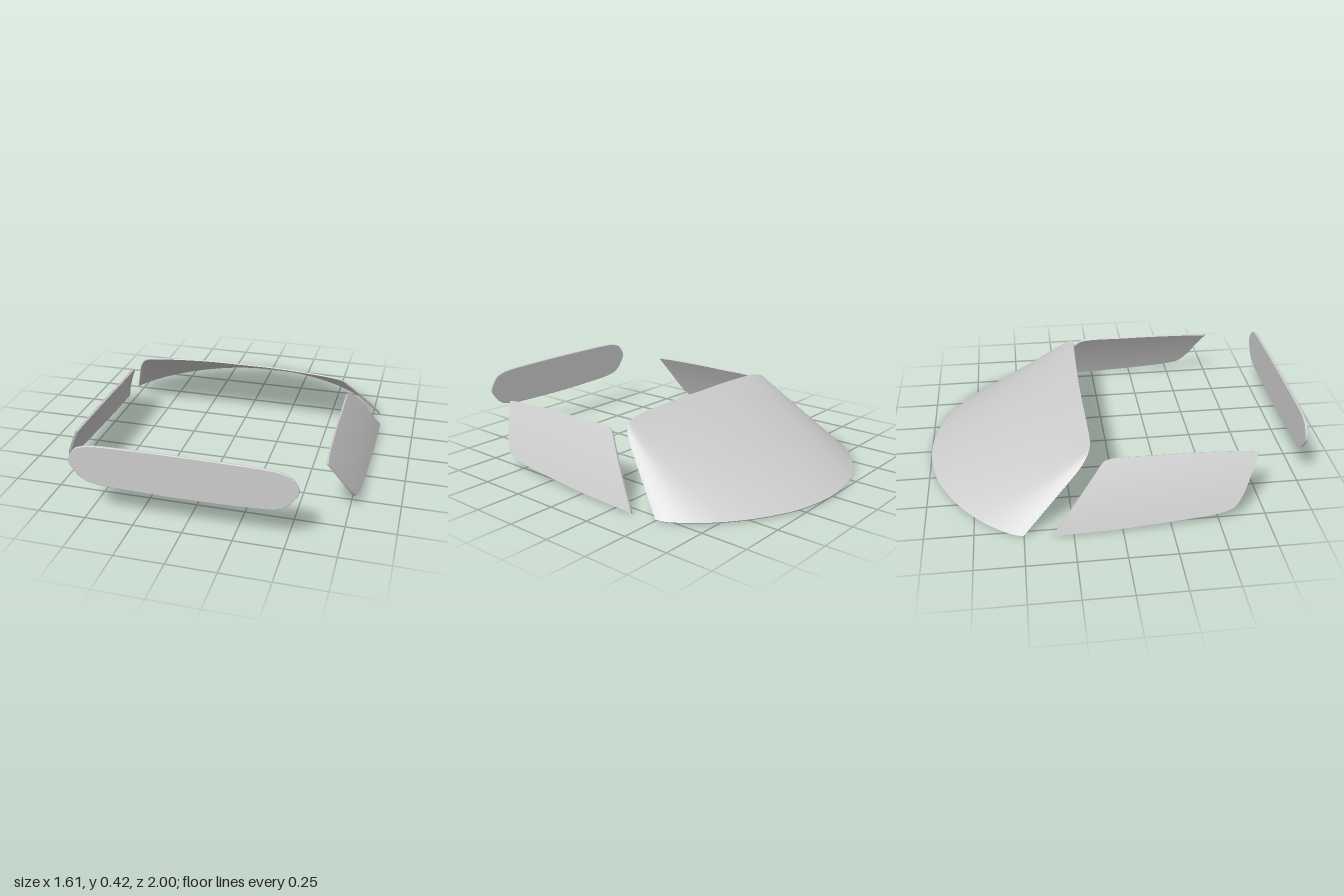
import * as THREE from 'three';
import { mergeGeometries } from 'three/addons/utils/BufferGeometryUtils.js';

const curve = (pts) => new THREE.CatmullRomCurve3(pts.map((p) => new THREE.Vector3(...p)));

// Indexed grid from a list of rows of points
function grid(rows) {
  const n = rows[0].length, index = [];
  for (let j = 0; j < rows.length - 1; j++) {
    for (let i = 0; i < n - 1; i++) {
      const a = j * n + i, b = a + 1, c = a + n, d = c + 1;
      index.push(a, b, d, a, d, c);
    }
  }
  const geo = new THREE.BufferGeometry().setFromPoints(rows.flat());
  geo.setIndex(index);
  geo.computeVertexNormals();
  return geo;
}

// Closed thin pane: outer skin, inner skin pushed along -normal, and a rim
function pane(rows, thickness) {
  const n = rows[0].length, m = rows.length;
  const normals = grid(rows).attributes.normal;
  const inner = rows.map((row, j) => row.map((p, i) =>
    p.clone().addScaledVector(new THREE.Vector3().fromBufferAttribute(normals, j * n + i), -thickness)));
  const loop = (r) => [
    ...r[0], ...r.slice(1).map((row) => row[n - 1]),
    ...r[m - 1].slice(0, -1).reverse(), ...r.slice(0, -1).reverse().map((row) => row[0]),
  ];
  const back = inner.map((row) => [...row].reverse());
  return mergeGeometries([grid(rows), grid(back), grid([loop(inner), loop(rows)])]);
}

// Rows of points blended between a lower and an upper edge
function blend(lower, upper, across, up, adjust = (p) => p) {
  const rows = [];
  for (let j = 0; j <= up; j++) {
    const row = [];
    for (let i = 0; i <= across; i++) {
      row.push(adjust(lower.getPoint(i / across).lerp(upper.getPoint(i / across), j / up)));
    }
    rows.push(row);
  }
  return rows;
}

// Full edge from its left half, centre point first
const mirrored = (half) => curve([
  ...half.slice(1).reverse().map(([x, y, z]) => [-x, y, z]), ...half]);

export function createModel() {
  const model = new THREE.Group();
  model.name = 'carWindows';
  const glass = new THREE.MeshStandardMaterial({ color: 0xcccccc, side: THREE.DoubleSide });
  glass.name = 'paleGreyGlass';
  const add = (name, geo) => {
    const mesh = new THREE.Mesh(geo, glass);
    mesh.name = name;
    model.add(mesh);
    return mesh;
  };

  // Sloping wraparound windscreen
  const sill = mirrored([
    [0, 0.008, -1], [0.25, 0.008, -0.962], [0.45, 0.008, -0.87], [0.6, 0.008, -0.76],
    [0.7, 0.008, -0.655], [0.77, 0.008, -0.55], [0.787, 0.01, -0.5],
  ]);
  const header = mirrored([
    [0, 0.4, -0.145], [0.2, 0.4, -0.143], [0.4, 0.392, -0.138], [0.52, 0.383, -0.136],
    [0.585, 0.367, -0.145], [0.62, 0.33, -0.17], [0.652, 0.275, -0.22],
  ]);
  add('windscreen', pane(blend(sill, header, 72, 12), 0.006));

  // Side windows, leaning inward with a gentle bulge
  const lower = curve([
    [0, 0.182, 0.645], [0, 0.13, 0.615], [0, 0.085, 0.575], [0, 0.062, 0.5],
    [0, 0.035, 0.2], [0, 0.018, -0.1], [0, 0.012, -0.36],
  ]);
  const upper = curve([
    [0, 0.33, 0.715], [0, 0.337, 0.65], [0, 0.341, 0.55], [0, 0.345, 0.4],
    [0, 0.345, 0.2], [0, 0.338, -0.07], [0, 0.315, -0.1],
  ]);
  for (const side of [1, -1]) {
    const lean = (p) => p.setX(side * (0.812 - 0.4 * p.y - 0.3 * p.y * p.y));
    const rows = blend(lower, upper, 36, 12, lean);
    if (side < 0) rows.forEach((row) => row.reverse());
    add(side > 0 ? 'leftSideWindow' : 'rightSideWindow', pane(rows, 0.012));
  }

  // Flat rounded window at the other end
  const half = [[0.2, 0.424], [0.42, 0.419], [0.5, 0.404], [0.535, 0.38], [0.563, 0.325],
    [0.54, 0.278], [0.505, 0.238], [0.46, 0.217], [0.38, 0.206], [0.2, 0.2]];
  const outline = new THREE.SplineCurve([
    [0, 0.425], ...half, [0, 0.197], ...half.map(([x, y]) => [-x, y]).reverse(), [0, 0.425],
  ].map((p) => new THREE.Vector2(...p)));
  const rear = new THREE.ExtrudeGeometry(new THREE.Shape(outline.getPoints(96).slice(0, -1)), {
    depth: 0.006, bevelEnabled: true, bevelThickness: 0.004, bevelSize: 0.004,
    bevelOffset: -0.004, bevelSegments: 3,
  });
  add('rearWindow', rear).position.z = 0.99;

  return model;
}
